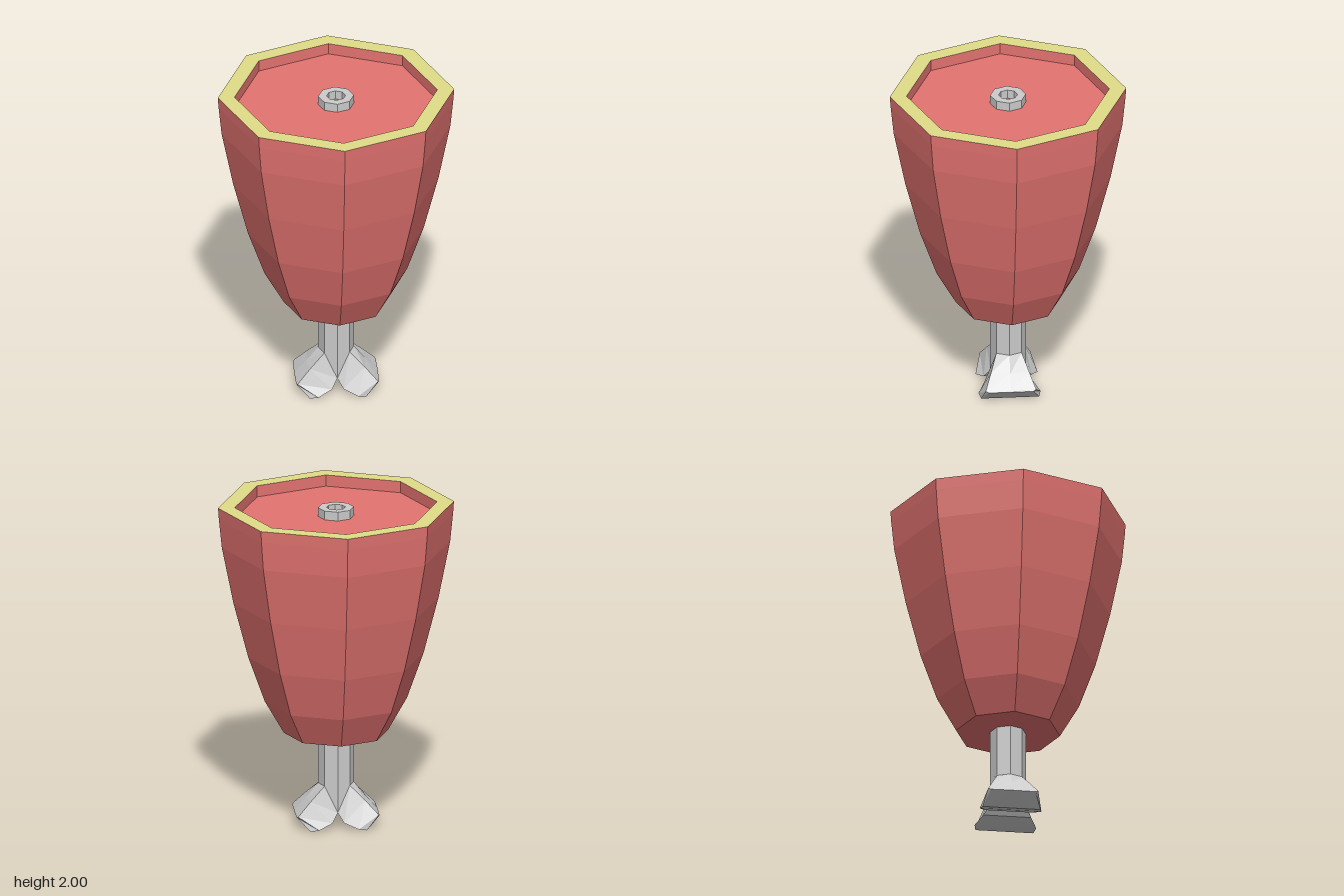
import * as THREE from 'three';

const SIDES = 8;
const mat = (color) => new THREE.MeshStandardMaterial({ color, flatShading: true });

// Eight-sided turned part; profile points are [radius, height]
function turned(name, profile, material) {
  const points = profile.map(([r, y]) => new THREE.Vector2(r, y));
  const mesh = new THREE.Mesh(new THREE.LatheGeometry(points, SIDES), material);
  mesh.name = name;
  return mesh;
}

// Skin a list of closed rings and cap the last one
function loft(rings) {
  const pos = [];
  const n = rings[0].length;
  const tri = (a, b, c) => pos.push(...a, ...b, ...c);
  for (let k = 0; k < rings.length - 1; k++) {
    for (let i = 0; i < n; i++) {
      const j = (i + 1) % n;
      const [p, q] = [rings[k], rings[k + 1]];
      tri(p[i], p[j], q[j]);
      tri(p[i], q[j], q[i]);
    }
  }
  const end = rings[rings.length - 1];
  for (let i = 1; i < n - 1; i++) tri(end[0], end[i], end[i + 1]);
  const geo = new THREE.BufferGeometry();
  geo.setAttribute('position', new THREE.Float32BufferAttribute(pos, 3));
  geo.computeVertexNormals();
  return geo;
}

export function createModel() {
  const model = new THREE.Group();
  model.name = 'meatLeg';
  const red = mat(0xe37370);
  const fat = mat(0xe0dd88);
  const grey = mat(0xcccccc);

  // Meat: tapering outside, and the sunken cut face
  model.add(turned('meat', [
    [0, 0.575], [0.315, 0.575], [0.43, 0.775], [0.53, 1.055],
    [0.62, 1.4], [0.69, 1.75], [0.708, 1.93], [0.713, 2],
  ], red));
  model.add(turned('cutFace', [[0.612, 2], [0.612, 1.93], [0, 1.93]], red));

  // Flat ring of fat around the cut
  model.add(turned('fatRim', [[0.713, 2], [0.612, 2]], fat));

  // Hollow bone end in the cut face
  model.add(turned('boneEnd', [[0.108, 1.93], [0.108, 1.985], [0.057, 1.985], [0.057, 1.93]], grey));

  // Bone shaft below the meat
  model.add(turned('boneShaft', [[0.108, 0.255], [0.108, 0.6]], grey));

  // Two splayed knuckles: each ring is a ridge point, a shoulder and an
  // inner edge, the latter two mirrored front to back
  const sections = [
    [[0.108, 0.255], [0.076, 0.255, 0.076], [0, 0.255, 0.108]],
    [[0.108, 0.255], [0.076, 0.255, 0.076], [0, 0.095, 0.108]],
    [[0.18, 0.165], [0.165, 0.17, 0.115], [0.035, 0.04, 0.145]],
    [[0.25, 0.085], [0.243, 0.088, 0.152], [0.12, 0.01, 0.187]],
    [[0.252, 0.08], [0.25, 0.08, 0.135], [0.17, 0, 0.175]],
  ];
  const rings = sections.map(([[rx, ry], s, e]) => [
    [rx, ry, 0], s, e, [e[0], e[1], -e[2]], [s[0], s[1], -s[2]],
  ]);
  const knuckle = loft(rings);
  ['leftKnuckle', 'rightKnuckle'].forEach((name, i) => {
    const mesh = new THREE.Mesh(knuckle, grey);
    mesh.name = name;
    mesh.rotation.y = i * Math.PI;
    model.add(mesh);
  });

  return model;
}
